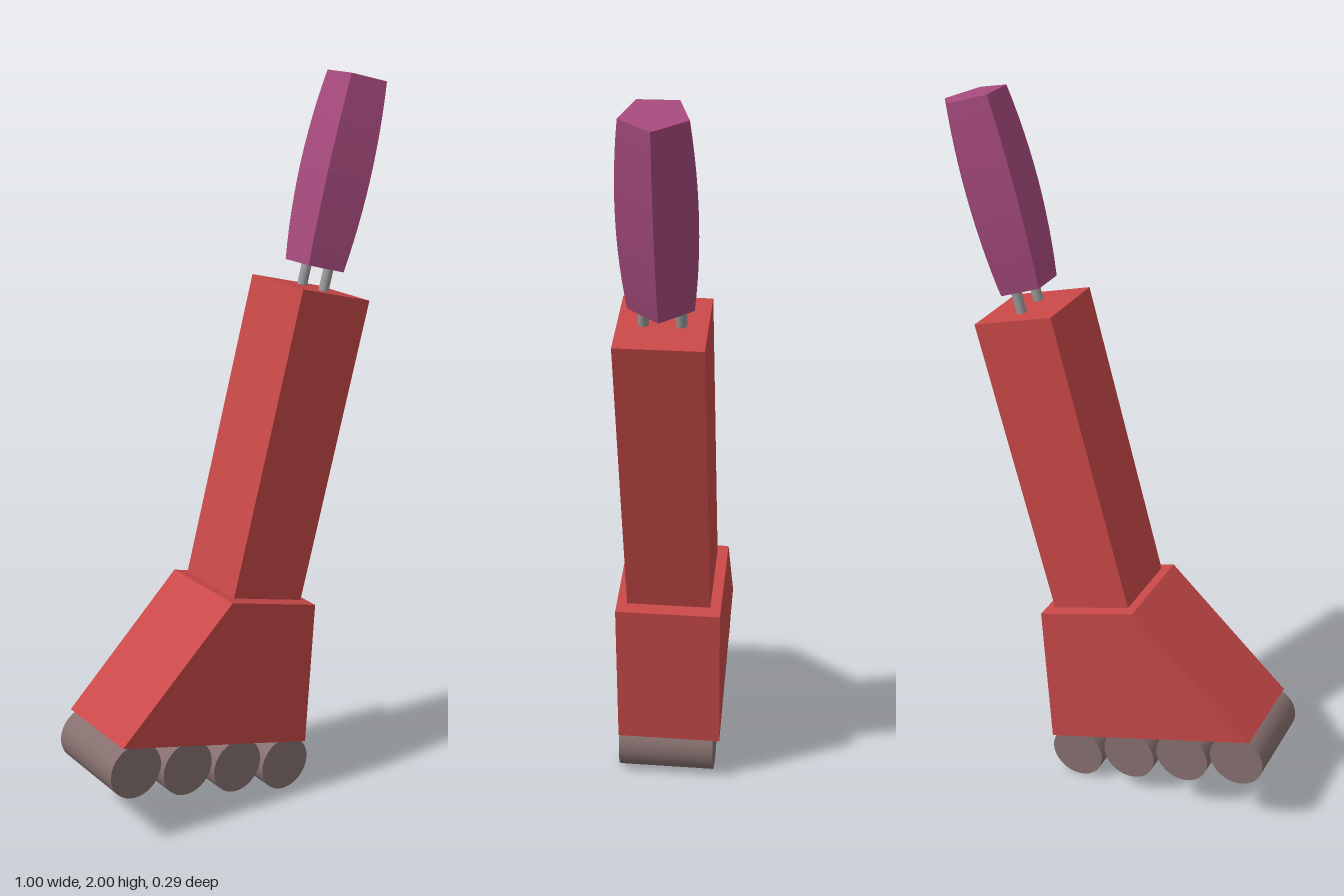
import * as THREE from 'three';

const paint = (color, flatShading = false) => new THREE.MeshStandardMaterial({ color, flatShading });

export function createModel() {
  const red = paint(0xc84848, true);
  const purple = paint(0xa64a7c, true);
  const rollerGrey = paint(0x86706f);
  const pinGrey = paint(0x999999);

  // Everything is laid out along one axis, then leaned over; origin is the foot of the arm
  const tool = new THREE.Group();
  tool.name = 'leaningTool';
  tool.position.set(0.035, 0.595, 0);
  tool.rotation.z = -Math.PI / 12;

  const add = (name, geometry, material, x, y, z) => {
    const mesh = new THREE.Mesh(geometry, material);
    mesh.name = name;
    mesh.position.set(x, y, z);
    tool.add(mesh);
    return mesh;
  };

  // Square arm
  add('arm', new THREE.BoxGeometry(0.236, 0.862, 0.231), red, 0, 0.429, 0);

  // Flared head, slightly narrower at its far rear corner
  const outline = new THREE.Shape([
    [-0.4, -0.419], [0.231, -0.419], [0.15, -0.006], [-0.143, -0.006],
  ].map(([x, y]) => new THREE.Vector2(x, y)));
  const head = new THREE.ExtrudeGeometry(outline, { depth: 0.29, bevelEnabled: false });
  head.translate(0, 0, -0.145);
  const p = head.attributes.position;
  for (let i = 0; i < p.count; i++) {
    if (p.getX(i) < -0.3 && p.getZ(i) < 0) p.setZ(i, -0.135);
  }
  head.computeVertexNormals();
  add('head', head, red, 0, 0, 0);

  // Row of rollers under the head
  const roller = new THREE.CylinderGeometry(0.079, 0.079, 0.27, 32);
  roller.rotateX(Math.PI / 2);
  for (let i = 0; i < 4; i++) {
    add('roller' + (i + 1), roller, rollerGrey, -0.341 + i * 0.1717, -0.485, 0.009);
  }

  // Two pins joining the grip to the arm
  const pin = new THREE.CylinderGeometry(0.014, 0.014, 0.12, 16);
  for (const side of [-1, 1]) {
    add(side > 0 ? 'frontPin' : 'backPin', pin, pinGrey, 0.007, 0.89, side * 0.048);
  }

  // Five-sided grip that swells in the middle
  const length = 0.518;
  const grip = new THREE.CylinderGeometry(0.088, 0.088, length, 5, 12, false, Math.PI / 2);
  const g = grip.attributes.position;
  for (let i = 0; i < g.count; i++) {
    const t = g.getY(i) / (length / 2);
    const swell = 1 + 0.195 * (1 - t * t);
    g.setX(i, g.getX(i) * swell);
    g.setZ(i, g.getZ(i) * swell);
  }
  grip.computeVertexNormals();
  add('grip', grip, purple, 0.005, 1.18, 0);

  const model = new THREE.Group();
  model.name = 'rollerTool';
  model.add(tool);
  return model;
}
